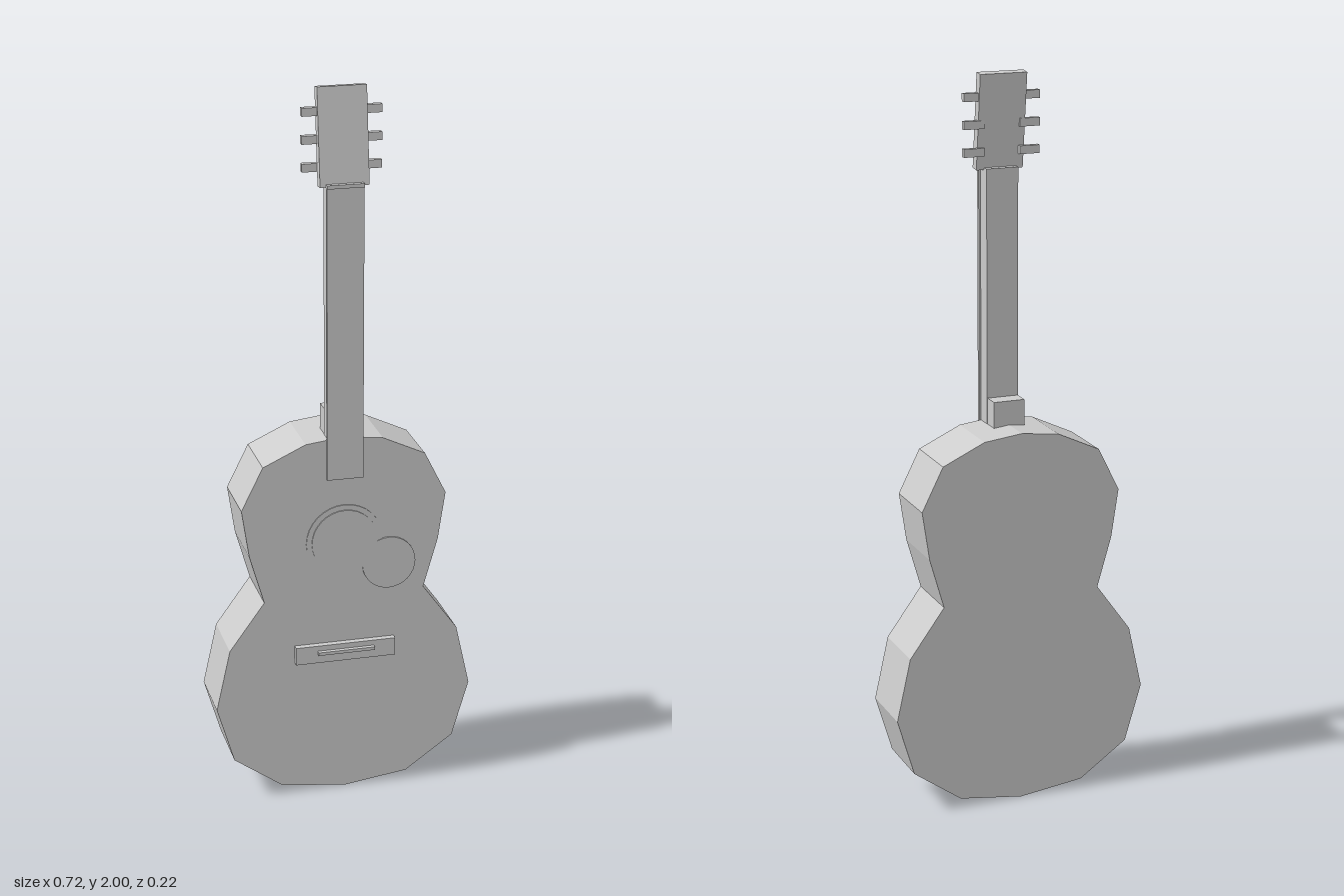
import * as THREE from 'three';

export function createModel() {
  const guitar = new THREE.Group();
  guitar.name = 'acousticGuitar';
  const grey = new THREE.MeshStandardMaterial({ color: 0xcccccc, flatShading: true });
  grey.name = 'plain grey';

  function add(name, geometry, x = 0, y = 0, z = 0) {
    const mesh = new THREE.Mesh(geometry, grey);
    mesh.name = name;
    mesh.position.set(x, y, z);
    guitar.add(mesh);
    return mesh;
  }
  // Box given by its extents on each axis
  const box = (name, x0, x1, y0, y1, z0, z1) => add(name,
    new THREE.BoxGeometry(x1 - x0, y1 - y0, z1 - z0),
    (x0 + x1) / 2, (y0 + y1) / 2, (z0 + z1) / 2);
  // Thin round plate lying on the soundboard
  const disc = (name, r, x, y, z0, z1) => add(name,
    new THREE.CylinderGeometry(r, r, z1 - z0, 32).rotateX(Math.PI / 2), x, y, (z0 + z1) / 2);

  // Body: mirrored waisted outline, extruded front to back
  const half = [[0.18, 0.024], [0.315, 0.12], [0.362, 0.28], [0.323, 0.455], [0.225, 0.59],
    [0.265, 0.73], [0.285, 0.865], [0.225, 0.985], [0.107, 1.04]];
  const outline = [[0, 0], ...half, [0, 1.053], ...half.map(([x, y]) => [-x, y]).reverse()];
  const shape = new THREE.Shape(outline.map(([x, y]) => new THREE.Vector2(x, y)));
  add('body', new THREE.ExtrudeGeometry(shape, { depth: 0.185, bevelEnabled: false }), 0, 0, -0.109);

  // Soundhole, rosette and pickguard
  disc('rosette', 0.107, 0, 0.75, 0.074, 0.079);
  disc('soundhole', 0.092, 0, 0.75, 0.075, 0.0825);
  disc('pickguard', 0.075, 0.125, 0.675, 0.074, 0.0815);

  // Bridge and saddle
  box('bridge', -0.141, 0.141, 0.4, 0.451, 0.07, 0.094);
  box('saddle', -0.08, 0.08, 0.427, 0.436, 0.09, 0.106);

  // Neck, heel, fingerboard and nut
  box('neck', -0.045, 0.045, 1.03, 1.745, 0.03, 0.077);
  box('heel', -0.044, 0.044, 1.04, 1.12, -0.018, 0.05);
  box('fingerboard', -0.05, 0.05, 0.935, 1.745, 0.075, 0.086);
  box('nut', -0.05, 0.05, 1.74, 1.75, 0.06, 0.09);

  // Headstock, leaning back
  const headstock = box('headstock', -0.066, 0.066, 1.74, 1.998, 0.035, 0.062);
  headstock.rotation.x = -0.12;

  // Tuners, three on each side
  for (const side of [-1, 1]) {
    for (const y of [1.789, 1.862, 1.935]) {
      add('tuner', new THREE.BoxGeometry(0.057, 0.022, 0.016), side * 0.0785, y, 0.04);
    }
  }
  return guitar;
}
